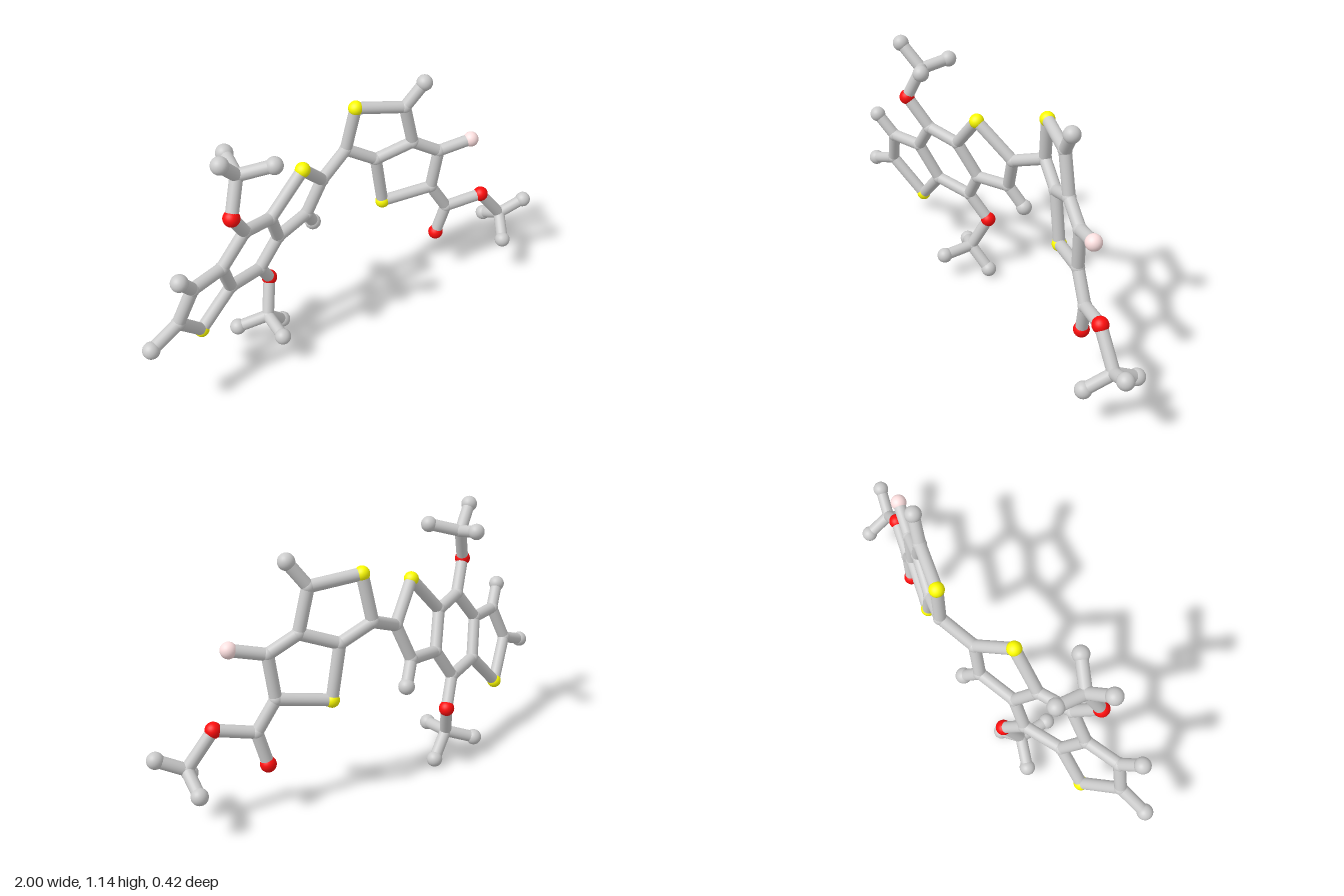
import * as THREE from 'three';

const STICK = 0.026;
const KINDS = {
  carbon: { radius: 0.029, color: 0xcccccc },
  hydrogen: { radius: 0.035, color: 0xcccccc },
  sulfur: { radius: 0.032, color: 0xffff00 },
  oxygen: { radius: 0.034, color: 0xff0d0d },
  halogen: { radius: 0.034, color: 0xffe1e1 },
};

// The two flat ring systems each lie in a tilted plane
const leftPlane = (x, y) => -0.314 - 0.271 * x + 0.27 * y;
const rightPlane = (x, y) => -0.233 + 0.367 * x + 0.046 * y;

export function createModel() {
  const model = new THREE.Group();
  model.name = 'stickMolecule';
  const materials = {};
  for (const k in KINDS) materials[k] = new THREE.MeshStandardMaterial({ color: KINDS[k].color });

  const atom = (parent, kind, x, y, z) => {
    const ball = new THREE.Mesh(new THREE.SphereGeometry(KINDS[kind].radius, 24, 16), materials[kind]);
    ball.name = kind + 'Atom';
    ball.position.set(x, y, z);
    parent.add(ball);
    return ball.position;
  };
  const bond = (parent, a, b) => {
    const dir = b.clone().sub(a);
    const rod = new THREE.Mesh(new THREE.CylinderGeometry(STICK, STICK, dir.length(), 20, 1, true), materials.carbon);
    rod.name = 'bond';
    rod.position.copy(a).addScaledVector(dir, 0.5);
    rod.quaternion.setFromUnitVectors(new THREE.Vector3(0, 1, 0), dir.normalize());
    parent.add(rod);
  };
  const section = (name) => {
    const g = new THREE.Group();
    g.name = name;
    model.add(g);
    return g;
  };
  // Flat part: atoms [kind, x, y] on a plane, bonds as chains of atom names
  const flatPart = (name, plane, atoms, chains) => {
    const g = section(name), p = {};
    for (const key in atoms) {
      const [kind, x, y] = atoms[key];
      p[key] = atom(g, kind, x, y, plane(x, y));
    }
    for (const chain of chains) {
      const keys = chain.split(' ');
      for (let i = 1; i < keys.length; i++) bond(g, p[keys[i - 1]], p[keys[i]]);
    }
    return p;
  };
  // Methyl: a carbon hung from an oxygen, with three hydrogens
  const methyl = (name, from, centre, ends) => {
    const g = section(name);
    const c = atom(g, 'carbon', ...centre);
    bond(g, from, c);
    for (const e of ends) bond(g, c, atom(g, 'hydrogen', ...e));
  };

  // Left: three fused rings
  const left = flatPart('leftRings', leftPlane, {
    a: ['carbon', -0.77, 0.595], b: ['carbon', -0.835, 0.44],
    s1: ['sulfur', -0.70, 0.275], c: ['carbon', -0.615, 0.595],
    d: ['carbon', -0.55, 0.43], e: ['carbon', -0.505, 0.73],
    f: ['carbon', -0.355, 0.70], g: ['carbon', -0.285, 0.54],
    h: ['carbon', -0.375, 0.405], s2: ['sulfur', -0.195, 0.87],
    i: ['carbon', -0.045, 0.72], j: ['carbon', -0.11, 0.56],
    o1: ['oxygen', -0.59, 0.865], o2: ['oxygen', -0.30, 0.285],
    h1: ['hydrogen', -0.84, 0.69], h2: ['hydrogen', -0.97, 0.39],
    h3: ['hydrogen', -0.05, 0.465],
  }, ['c a b s1 d c e f g h d', 'f s2 i j g', 'e o1', 'h o2', 'a h1', 'b h2', 'j h3']);

  // Right: two fused rings with the ester arm
  const right = flatPart('rightRings', rightPlane, {
    k: ['carbon', 0.115, 0.785], s3: ['sulfur', 0.15, 0.985],
    l: ['carbon', 0.355, 0.955], m: ['carbon', 0.40, 0.77],
    n: ['carbon', 0.245, 0.71], s4: ['sulfur', 0.285, 0.475],
    o: ['carbon', 0.50, 0.51], p: ['carbon', 0.52, 0.70],
    x: ['halogen', 0.66, 0.735], hl: ['hydrogen', 0.43, 1.06],
    q: ['carbon', 0.58, 0.38], o3: ['oxygen', 0.545, 0.235],
    o4: ['oxygen', 0.74, 0.415],
  }, ['k s3 l m n k', 'n s4 o p m', 'p x', 'l hl', 'o q o3', 'q o4']);

  // Link between the two ring systems
  bond(section('link'), left.i, right.k);

  methyl('upperMethyl', left.o1, [-0.53, 1.01, 0.035],
    [[-0.62, 1.11, 0.08], [-0.41, 1.045, 0.11], [-0.505, 1.035, -0.09]]);
  methyl('lowerMethyl', left.o2, [-0.355, 0.135, -0.095],
    [[-0.475, 0.09, -0.155], [-0.26, 0.037, -0.13], [-0.37, 0.122, 0.045]]);
  methyl('esterMethyl', right.o4, [0.855, 0.27, 0.08],
    [[0.963, 0.328, 0.123], [0.795, 0.195, 0.175], [0.865, 0.204, -0.033]]);

  return model;
}
